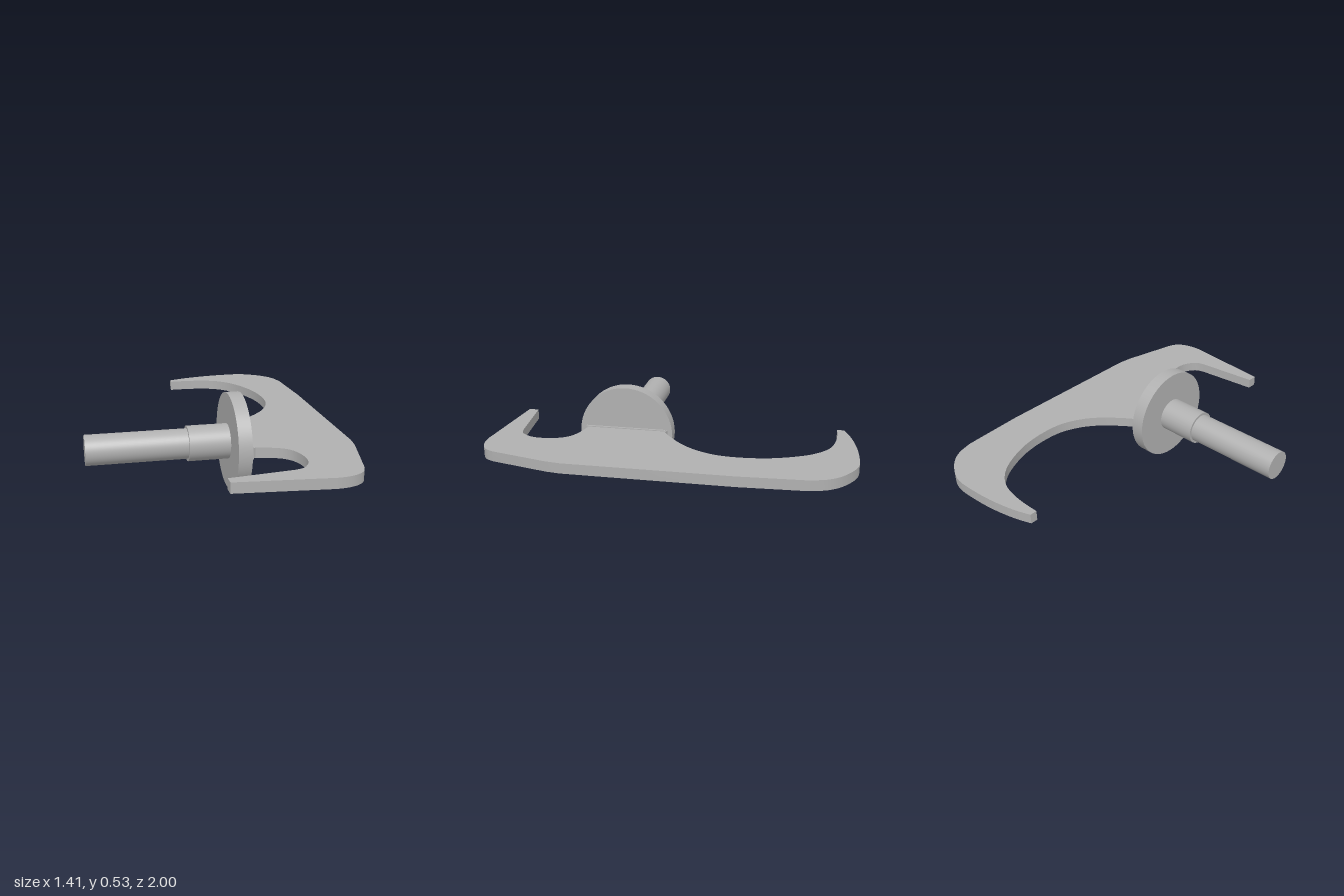
import * as THREE from 'three';
import { toCreasedNormals } from 'three/addons/utils/BufferGeometryUtils.js';

const AXIS_Y = 0.27, AXIS_Z = 0.295;

export function createModel() {
  const group = new THREE.Group();
  const metal = new THREE.MeshStandardMaterial({ color: 0xb0b0b0 });
  metal.name = 'grey metal';

  const add = (name, geometry) => {
    const mesh = new THREE.Mesh(geometry, metal);
    mesh.name = name;
    group.add(mesh);
    return mesh;
  };

  // Round parts lying along x on a shared axis
  const rod = (name, x0, x1, radius) => {
    const geometry = new THREE.CylinderGeometry(radius, radius, x1 - x0, 64);
    geometry.rotateZ(Math.PI / 2);
    add(name, geometry).position.set((x0 + x1) / 2, AXIS_Y, AXIS_Z);
  };
  rod('shaft', -0.705, -0.155, 0.083);
  rod('collar', -0.155, 0.07, 0.097);
  rod('disc', 0.07, 0.145, 0.267);

  // Hooked plate outline as (x, z)
  const shape = new THREE.Shape();
  const curve = (points) => shape.splineThru(points.map(([x, z]) => new THREE.Vector2(x, z)));
  shape.moveTo(-0.045, -0.885);
  shape.lineTo(-0.045, -0.925);
  // long hook, outer edge
  curve([[0.06, -0.96], [0.2, -0.988], [0.34, -1], [0.45, -0.998], [0.53, -0.968],
    [0.61, -0.91], [0.66, -0.84], [0.685, -0.75]]);
  // straight back
  shape.lineTo(0.703, -0.4);
  shape.lineTo(0.705, 0.5);
  shape.lineTo(0.695, 0.58);
  shape.lineTo(0.617, 0.9);
  // short hook
  curve([[0.59, 0.95], [0.535, 0.985], [0.46, 1], [0.38, 0.995]]);
  shape.lineTo(-0.07, 0.955);
  shape.lineTo(-0.07, 0.9);
  shape.lineTo(0.28, 0.86);
  curve([[0.33, 0.84], [0.37, 0.78], [0.38, 0.71], [0.365, 0.63], [0.33, 0.575],
    [0.27, 0.54], [0.17, 0.515]]);
  // root against the disc
  shape.lineTo(0.14, 0.53);
  shape.lineTo(0.14, 0.055);
  shape.lineTo(0.17, 0.065);
  // long hook, inner edge
  curve([[0.21, 0.04], [0.32, -0.05], [0.4, -0.15], [0.45, -0.27], [0.46, -0.4],
    [0.445, -0.53], [0.41, -0.64], [0.36, -0.74], [0.3, -0.81], [0.23, -0.855],
    [0.14, -0.878], [0.05, -0.886], [-0.045, -0.885]]);

  const plate = new THREE.ExtrudeGeometry(shape, { depth: 0.057, bevelEnabled: false, curveSegments: 4 });
  plate.rotateX(Math.PI / 2);
  add('hookPlate', toCreasedNormals(plate, 0.5)).position.y = 0.3;

  // Low seam where the plate joins the disc
  add('joint', new THREE.BoxGeometry(0.02, 0.066, 0.46)).position.set(0.15, 0.2715, 0.297);

  return group;
}
